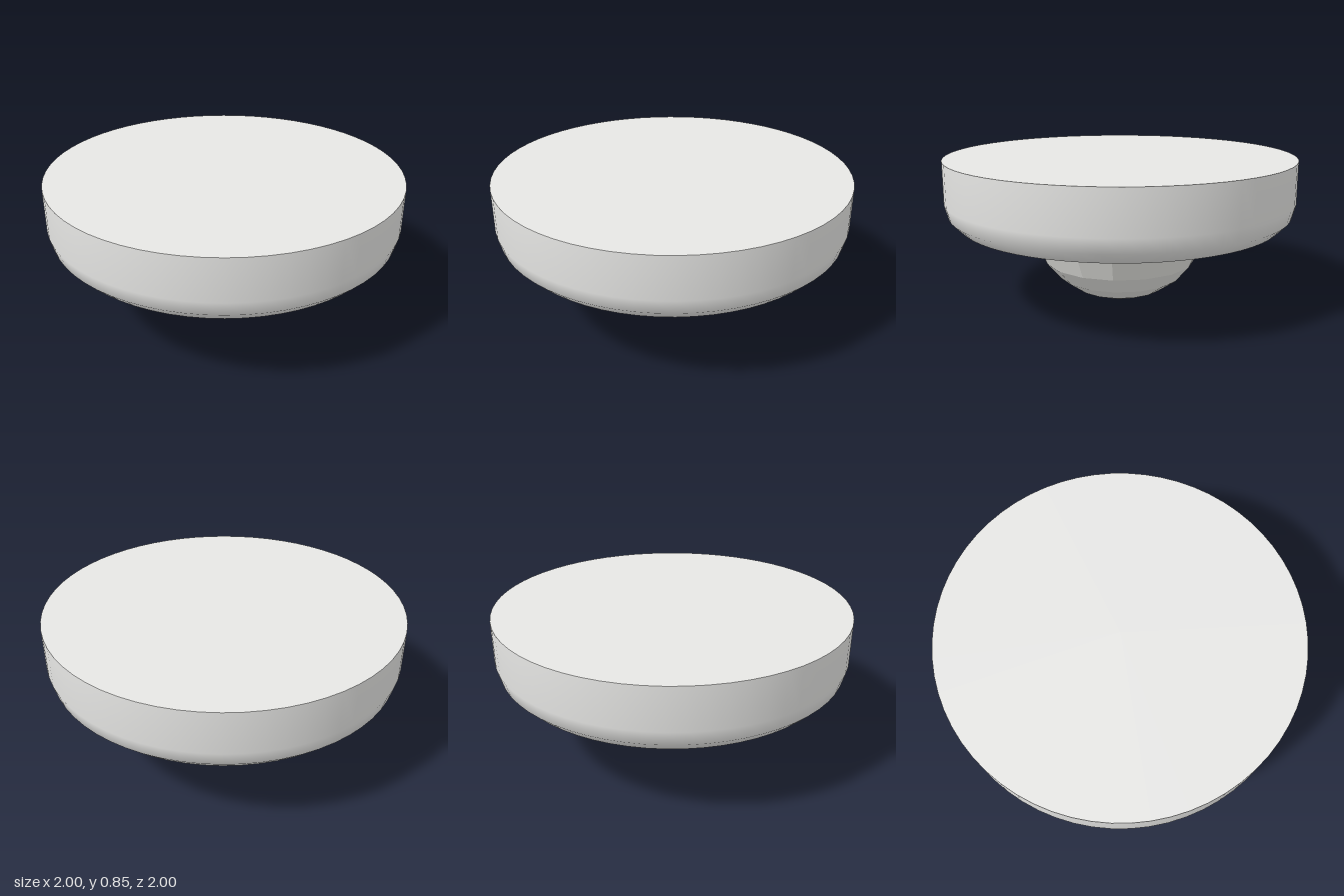
import * as THREE from 'three';

export function createModel() {
  const model = new THREE.Group();
  model.name = 'ceilingSensor';
  const shell = new THREE.MeshStandardMaterial({ name: 'off-white plastic', color: 0xebebe9 });
  const lens = new THREE.MeshStandardMaterial({ name: 'lens white', color: 0xe8e8e4, flatShading: true });

  const add = (name, geometry, material, y = 0, z = 0) => {
    const mesh = new THREE.Mesh(geometry, material);
    mesh.name = name;
    mesh.position.set(0, y, z);
    model.add(mesh);
    return mesh;
  };

  // Housing wall with a three-step rounded lower edge
  const bottom = 0.45, top = 0.845, fillet = 0.16;
  const profile = [];
  for (let i = 0; i <= 3; i++) {
    const a = (i / 3) * Math.PI / 2;
    profile.push(new THREE.Vector2(1 - fillet + fillet * Math.sin(a), bottom + fillet * (1 - Math.cos(a))));
  }
  profile.push(new THREE.Vector2(1, top));
  add('housingWall', new THREE.LatheGeometry(profile, 64), shell);

  // Flat mounting face above and flat underside below
  add('mountingFace', new THREE.CircleGeometry(1, 64).rotateX(-Math.PI / 2), shell, top);
  add('underside', new THREE.CircleGeometry(1 - fillet, 64).rotateX(Math.PI / 2), shell, bottom);

  // Collar around the lens
  add('lensCollar', new THREE.CylinderGeometry(0.575, 0.575, 0.035, 64), shell, 0.4425);

  // Faceted lens dome, lower half of a slightly flattened sphere
  const dome = new THREE.SphereGeometry(1, 16, 6, 0, Math.PI * 2, Math.PI / 2, Math.PI / 2);
  dome.scale(0.507, 0.458, 0.507);
  add('lensDome', dome, lens, 0.458);

  // Small indicator light near the front rim
  add('indicatorLight', new THREE.CylinderGeometry(0.03, 0.03, 0.03, 16), shell, 0.45, 0.715);

  return model;
}
